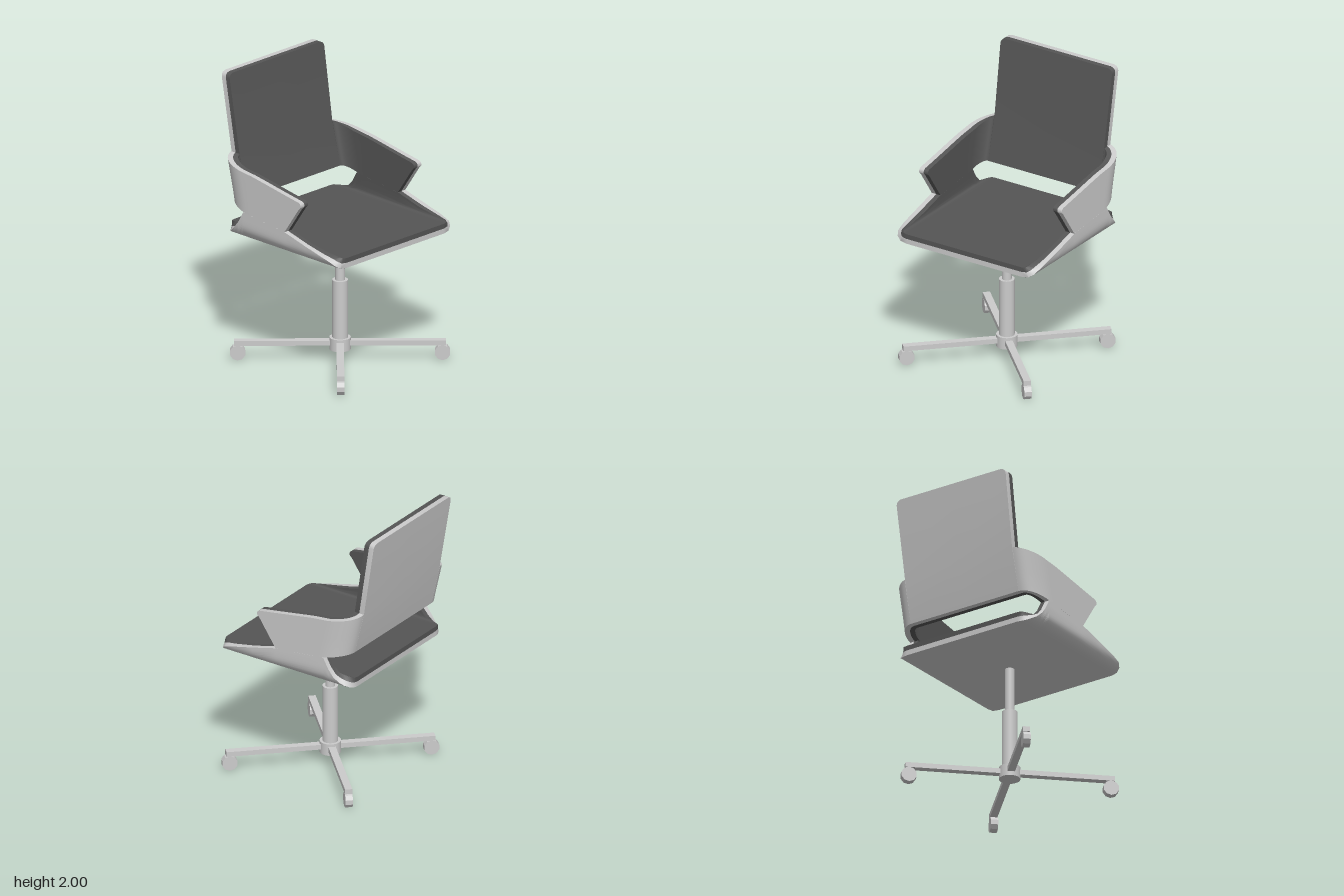
import * as THREE from 'three';
import { toCreasedNormals } from 'three/addons/utils/BufferGeometryUtils.js';

const grey = new THREE.MeshStandardMaterial({ color: 0xcccccc });
const dark = new THREE.MeshStandardMaterial({ color: 0x555555 });
const lerp = THREE.MathUtils.lerp;

// Piecewise linear lookup in a list of [key, value]
function interp(keys, x) {
  let i = 1;
  while (i < keys.length - 1 && x > keys[i][0]) i++;
  const [a, b] = [keys[i - 1], keys[i]];
  const t = THREE.MathUtils.clamp((x - a[0]) / (b[0] - a[0]), 0, 1);
  return lerp(a[1], b[1], t);
}

// Closed slab between depths d0 and d1 of a bent sheet; fn(u, v, d) returns [x, y, z]
function slab(us, vs, fn, d0, d1) {
  const pos = [];
  const quad = (a, b, c, d) => pos.push(...a, ...b, ...c, ...a, ...c, ...d);
  const outer = us.map(u => vs.map(v => fn(u, v, d0)));
  const inner = us.map(u => vs.map(v => fn(u, v, d1)));
  const nu = us.length - 1, nv = vs.length - 1;
  for (let i = 0; i < nu; i++) {
    for (let j = 0; j < nv; j++) {
      quad(outer[i][j], outer[i + 1][j], outer[i + 1][j + 1], outer[i][j + 1]);
      quad(inner[i][j], inner[i][j + 1], inner[i + 1][j + 1], inner[i + 1][j]);
    }
    quad(outer[i][0], inner[i][0], inner[i + 1][0], outer[i + 1][0]);
    quad(outer[i][nv], outer[i + 1][nv], inner[i + 1][nv], inner[i][nv]);
  }
  for (let j = 0; j < nv; j++) {
    quad(outer[0][j], outer[0][j + 1], inner[0][j + 1], inner[0][j]);
    quad(outer[nu][j], inner[nu][j], inner[nu][j + 1], outer[nu][j + 1]);
  }
  // Turn the faces outward when the enclosed volume comes out negative
  const [a, b, c] = [0, 1, 2].map(() => new THREE.Vector3());
  let volume = 0;
  for (let k = 0; k < pos.length; k += 9) {
    a.fromArray(pos, k); b.fromArray(pos, k + 3); c.fromArray(pos, k + 6);
    volume += a.dot(b.cross(c));
  }
  if (volume < 0) {
    for (let k = 0; k < pos.length; k += 9) {
      for (let m = 3; m < 6; m++) [pos[k + m], pos[k + m + 3]] = [pos[k + m + 3], pos[k + m]];
    }
  }
  const geo = new THREE.BufferGeometry();
  geo.setAttribute('position', new THREE.Float32BufferAttribute(pos, 3));
  return toCreasedNormals(geo, 0.7);
}

// Grey shell outside, dark pad inside
function shellAndPad(name, us, vs, fn) {
  const group = new THREE.Group();
  group.name = name;
  const shell = new THREE.Mesh(slab(us, vs, fn, 0, 0.036), grey);
  shell.name = name + 'Shell';
  const pad = new THREE.Mesh(slab(us, vs, fn, 0.036, 0.07), dark);
  pad.name = name + 'Pad';
  group.add(shell, pad);
  return group;
}

// Seat: a U section along x, its sides trimmed at a varying length past the bend
const R = 0.09, BEND = R * Math.PI / 2;
const seatTrim = [[-0.48, -0.03], [-0.475, 0], [-0.46, 0.03], [-0.43, 0.065], [-0.4, 0.09],
  [-0.36, 0.13], [-0.32, 0.18], [-0.28, 0.251], [0.11, 0.211], [0.3, 0.162], [0.45, 0.125],
  [0.53, 0.1], [0.56, 0.07], [0.577, 0.03], [0.585, -0.02]];
function seatPoint(x, v, d) {
  const e = interp(seatTrim, x), t = Math.abs(v);
  const s = t < 0.2 ? lerp(-0.485, -0.04, t / 0.2) : lerp(-0.04, e, (t - 0.2) / 0.8);
  let y = 0.91 + d, z = 0.485 + s;
  if (s > 0) {
    const a = Math.min(s / R, Math.PI / 2);
    z = 0.485 + (R - d) * Math.sin(a);
    y = 0.91 + R - (R - d) * Math.cos(a) + Math.max(0, s - BEND);
  }
  return [x, y, Math.sign(v) * z];
}

// Leaning back plane: outer x by height
const backX = y => interp([[1.15, -0.45], [1.45, -0.52], [2, -0.61]], y);
const backWidth = [[1.15, 0.445], [1.45, 0.442], [1.965, 0.45], [1.98, 0.446], [1.992, 0.436], [2, 0.415]];
const backPoint = (y, v, d) => [backX(y) + d * 1.07, y, v * interp(backWidth, y)];

// Arm: straight wall, then a rounded corner into the back
const armStations = [
  { x: 0.262, lo: 1.285, hi: 1.295 }, { x: 0.256, lo: 1.276, hi: 1.306 }, { x: 0.242, lo: 1.262, hi: 1.314 },
  { x: 0.11, lo: 1.07, hi: 1.335 }, { x: -0.1, lo: 1.0915, hi: 1.37 }, { x: -0.2, lo: 1.102, hi: 1.386 },
];
for (let i = 0; i <= 12; i++) {
  const a = i / 12 * Math.PI / 2;
  armStations.push({ a, lo: lerp(1.105, 1.15, Math.sin(a)), hi: lerp(1.397, 1.45, i / 12) });
}
const armPoint = side => (st, v, d) => {
  const y = lerp(st.lo, st.hi, v);
  if (st.a === undefined) return [st.x, y, side * (0.575 - d)];
  return [backX(y) + 0.2 - (0.2 - d * 1.07) * Math.sin(st.a), y,
    side * (0.445 + (0.13 - d) * Math.cos(st.a))];
};

function cylinder(name, r, y0, y1) {
  const mesh = new THREE.Mesh(new THREE.CylinderGeometry(r, r, y1 - y0, 32), grey);
  mesh.name = name;
  mesh.position.y = (y0 + y1) / 2;
  return mesh;
}

export function createModel() {
  const chair = new THREE.Group();
  chair.name = 'officeChair';

  const across = Array.from({ length: 41 }, (_, i) => i / 20 - 1);
  chair.add(shellAndPad('seat', seatTrim.map(k => k[0]), across, seatPoint));
  chair.add(shellAndPad('backrest', backWidth.map(k => k[0]), [-1, 0, 1], backPoint));
  for (const [name, side] of [['rightArm', 1], ['leftArm', -1]]) {
    chair.add(shellAndPad(name, armStations, [0, 0.25, 0.5, 0.75, 1], armPoint(side)));
  }

  // Gas lift and hub
  const base = new THREE.Group();
  base.name = 'base';
  base.position.x = 0.065;
  base.add(cylinder('liftRod', 0.033, 0.56, 0.885));
  base.add(cylinder('liftSleeve', 0.053, 0.15, 0.57));
  base.add(cylinder('hub', 0.072, 0.075, 0.16));

  // Four diagonal legs, each with a faceted castor in line with it
  const castorMat = grey.clone();
  castorMat.flatShading = true;
  for (let i = 0; i < 4; i++) {
    const leg = new THREE.Group();
    leg.name = 'leg' + (i + 1);
    leg.rotation.y = Math.PI / 4 + i * Math.PI / 2;
    const bar = new THREE.Mesh(new THREE.BoxGeometry(0.67, 0.035, 0.05), grey);
    bar.name = 'legBar';
    bar.position.set(0.375, 0.1225, 0);
    const castor = new THREE.Mesh(new THREE.CylinderGeometry(0.0535, 0.0535, 0.05, 10), castorMat);
    castor.name = 'castor';
    castor.rotation.x = Math.PI / 2;
    castor.position.set(0.686, 0.0535, 0);
    leg.add(bar, castor);
    base.add(leg);
  }
  chair.add(base);
  return chair;
}
